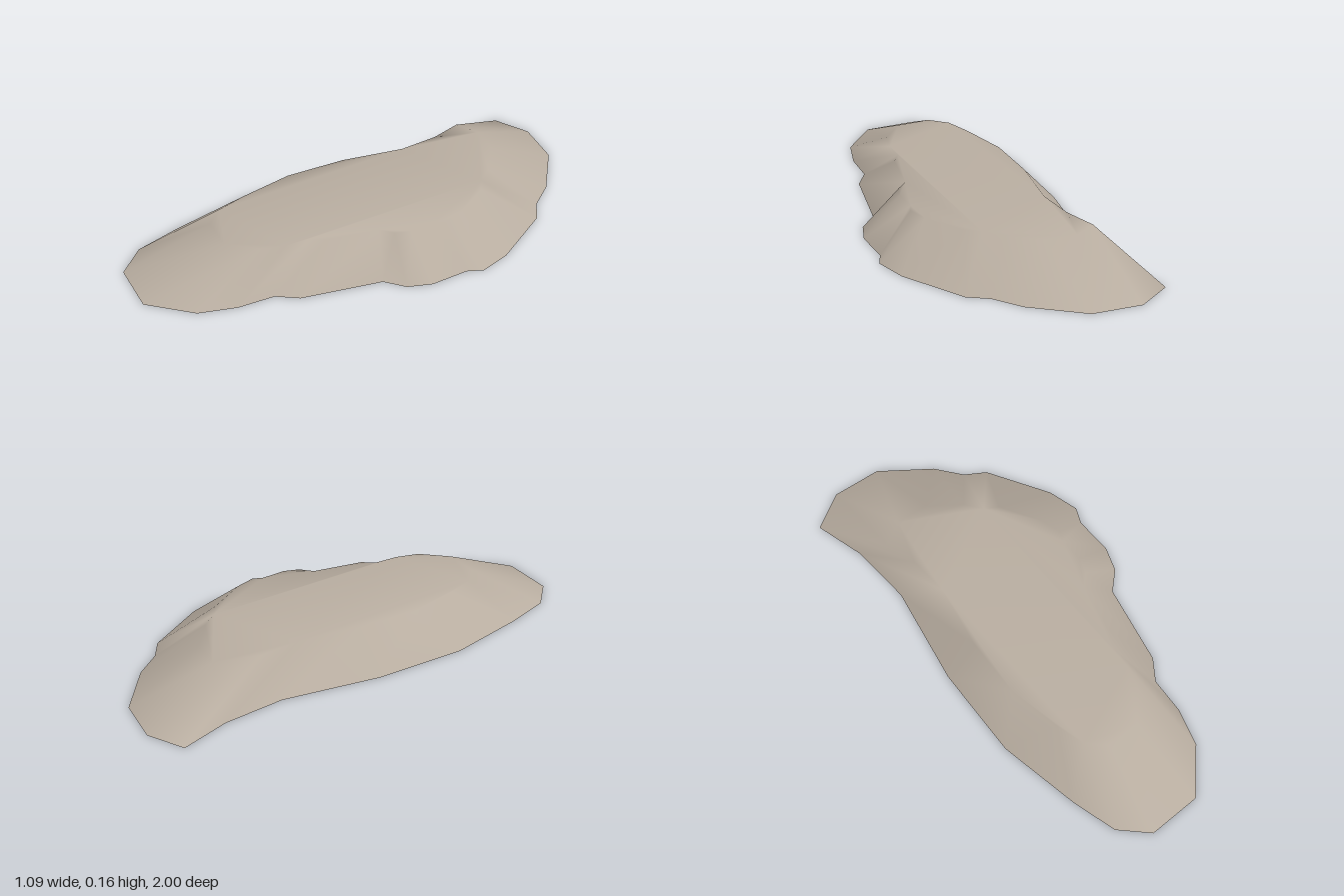
import * as THREE from 'three';

// Ground outline as [x, z], counter-clockwise seen from above
const OUTLINE = [
  [0.01, -1.0], [-0.155, -0.965], [-0.155, -0.75], [-0.21, -0.495], [-0.395, -0.12], [-0.515, 0.25],
  [-0.545, 0.6], [-0.545, 0.8], [-0.47, 0.935], [-0.255, 1.0], [-0.065, 0.885], [0.02, 0.75],
  [0.07, 0.605], [0.15, 0.54], [0.305, 0.24], [0.395, 0.195], [0.455, 0.11], [0.495, -0.045],
  [0.54, -0.1], [0.54, -0.235], [0.465, -0.52], [0.4, -0.595], [0.35, -0.72], [0.2, -0.92],
];
const HEIGHT = 0.157;
const TOP_SCALE = 0.65;

const ring = (scale, y) => OUTLINE.flatMap(([x, z]) => [x * scale, y, z * scale]);

function makeGeometry(positions, index) {
  const geometry = new THREE.BufferGeometry();
  geometry.setAttribute('position', new THREE.Float32BufferAttribute(positions, 3));
  geometry.setIndex(index);
  geometry.computeVertexNormals();
  return geometry;
}

export function createModel() {
  const group = new THREE.Group();
  group.name = 'rockSlab';
  const stone = new THREE.MeshStandardMaterial({ color: 0xb8ada0 });
  stone.name = 'stone';

  const n = OUTLINE.length;
  const cap = THREE.ShapeUtils.triangulateShape(OUTLINE.map(([x, z]) => new THREE.Vector2(x, -z)), []);

  // Sloping sides and flat top share vertices, so the shading rolls over the rim
  const index = [];
  for (let i = 0; i < n; i++) {
    const j = (i + 1) % n;
    index.push(i, j, n + j, i, n + j, n + i);
  }
  cap.forEach((face) => index.push(...face.map((v) => v + n)));
  const upper = new THREE.Mesh(makeGeometry([...ring(1, 0), ...ring(TOP_SCALE, HEIGHT)], index), stone);
  upper.name = 'slopesAndTop';

  // Flat underside
  const under = new THREE.Mesh(makeGeometry(ring(1, 0), cap.flatMap(([a, b, c]) => [a, c, b])), stone);
  under.name = 'underside';

  group.add(upper, under);
  return group;
}
